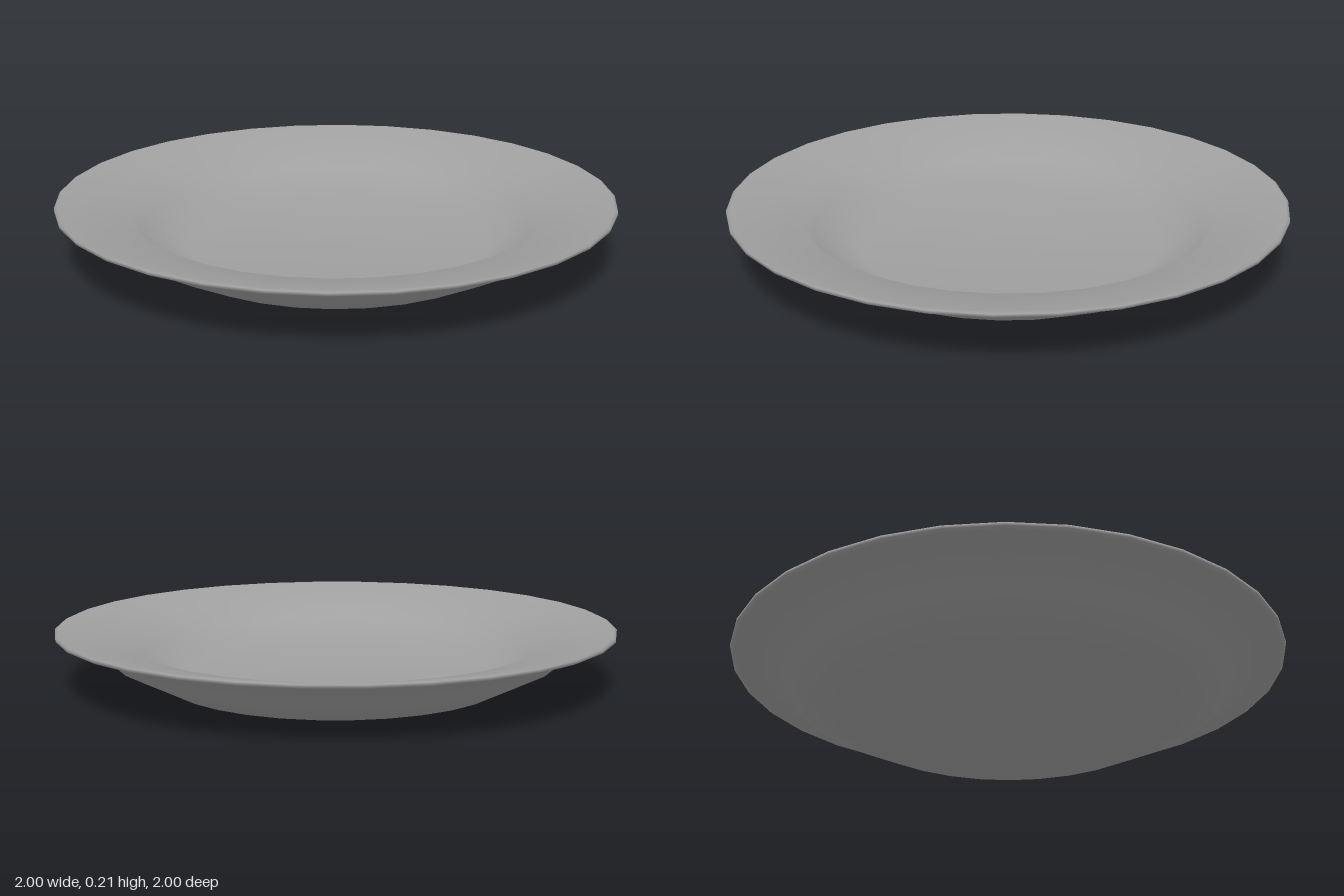
import * as THREE from 'three';

export function createModel() {
  const model = new THREE.Group();
  model.name = 'dinnerPlate';

  // Closed profile [radius, height]: underside outward, round the lip, back across the top
  const profile = [
    [0, 0], [0.61, 0], [0.8, 0.095], [0.835, 0.15],       // base, flared wall, shoulder
    [0.985, 0.187], [1, 0.194], [1, 0.205], [0.99, 0.21], // rim underside and lip
    [0.735, 0.152], [0.7, 0.1], [0.54, 0.03], [0, 0.025], // rim top, well, floor
  ].map(([r, y]) => new THREE.Vector2(r, y));

  const plate = new THREE.Mesh(
    new THREE.LatheGeometry(profile, 32),
    new THREE.MeshStandardMaterial({ color: 0xa0a0a0 })
  );
  plate.name = 'plateBody';
  model.add(plate);
  return model;
}
